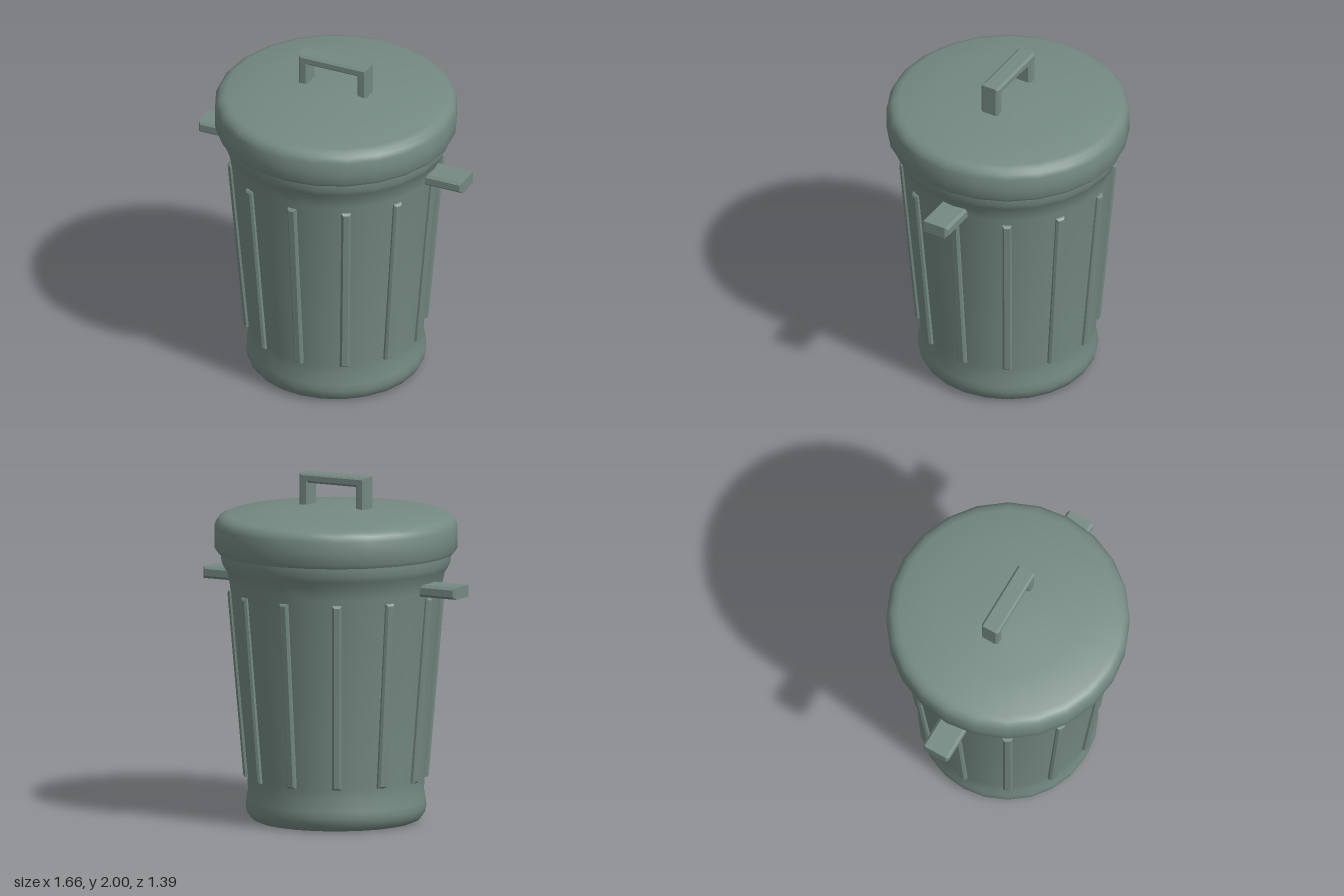
import * as THREE from 'three';
import { toCreasedNormals } from 'three/addons/utils/BufferGeometryUtils.js';

const material = new THREE.MeshStandardMaterial({ color: 0x758a83 });

function addMesh(parent, name, geometry) {
  const mesh = new THREE.Mesh(geometry, material);
  mesh.name = name;
  parent.add(mesh);
  return mesh;
}

// Turned part with 24 sides, smooth except at sharp profile corners
function turned(profile) {
  const points = profile.map(([r, y]) => new THREE.Vector2(r, y));
  return toCreasedNormals(new THREE.LatheGeometry(points, 24), 0.9);
}

// Outline extruded along z, centred, with chamfered edges; the outline is the final size
function chamfered(outline, depth, bevel) {
  const shape = new THREE.Shape(outline.map(([x, y]) => new THREE.Vector2(x, y)));
  const geometry = new THREE.ExtrudeGeometry(shape, {
    depth: depth - 2 * bevel, bevelEnabled: true, bevelSegments: 1,
    bevelSize: bevel, bevelThickness: bevel, bevelOffset: -bevel,
  });
  return geometry.translate(0, 0, -depth / 2 + bevel);
}

function chamferedBox(w, h, d, bevel) {
  const x = w / 2, y = h / 2;
  return chamfered([[-x, -y], [x, -y], [x, y], [-x, y]], d, bevel);
}

export function createModel() {
  const bin = new THREE.Group();
  bin.name = 'trashCan';

  // Tapered body with a rounded foot and a flared rim
  addMesh(bin, 'body', turned([
    [0, 0], [0.46, 0], [0.49, 0.015], [0.51, 0.045], [0.518, 0.08],
    [0.515, 0.12], [0.505, 0.18], [0.508, 0.25], [0.608, 1.36],
    [0.622, 1.43], [0.645, 1.47], [0.657, 1.5], [0.66, 1.54], [0.66, 1.6],
  ]));

  // Lid with a rolled skirt and a shallow cone on top
  addMesh(bin, 'lid', turned([
    [0, 1.57], [0.655, 1.555], [0.683, 1.555], [0.695, 1.575], [0.697, 1.64],
    [0.697, 1.71], [0.685, 1.74], [0.663, 1.76], [0.63, 1.772],
    [0.4, 1.798], [0.17, 1.82], [0, 1.825],
  ]));

  // Squared arch handle on the lid
  addMesh(bin, 'lidHandle', chamfered([
    [-0.215, 1.79], [-0.155, 1.79], [-0.155, 1.945], [0.155, 1.945],
    [0.155, 1.79], [0.215, 1.79], [0.215, 2], [-0.215, 2],
  ], 0.11, 0.012));

  // Side handles
  for (const [name, side] of [['leftHandle', 1], ['rightHandle', -1]]) {
    const handle = addMesh(bin, name, chamferedBox(0.27, 0.07, 0.17, 0.015));
    handle.position.set(side * 0.697, 1.38, 0);
  }

  // Twelve upright ribs leaning with the taper of the body
  const ribs = new THREE.Group();
  ribs.name = 'ribs';
  bin.add(ribs);
  const ribGeometry = chamferedBox(0.054, 1.085, 0.06, 0.011);
  for (let i = 0; i < 12; i++) {
    const pivot = new THREE.Group();
    pivot.rotation.y = (i * Math.PI) / 6;
    const rib = addMesh(pivot, 'rib', ribGeometry);
    rib.position.set(0, 0.79, 0.547);
    rib.rotation.x = 0.086;
    ribs.add(pivot);
  }

  return bin;
}
